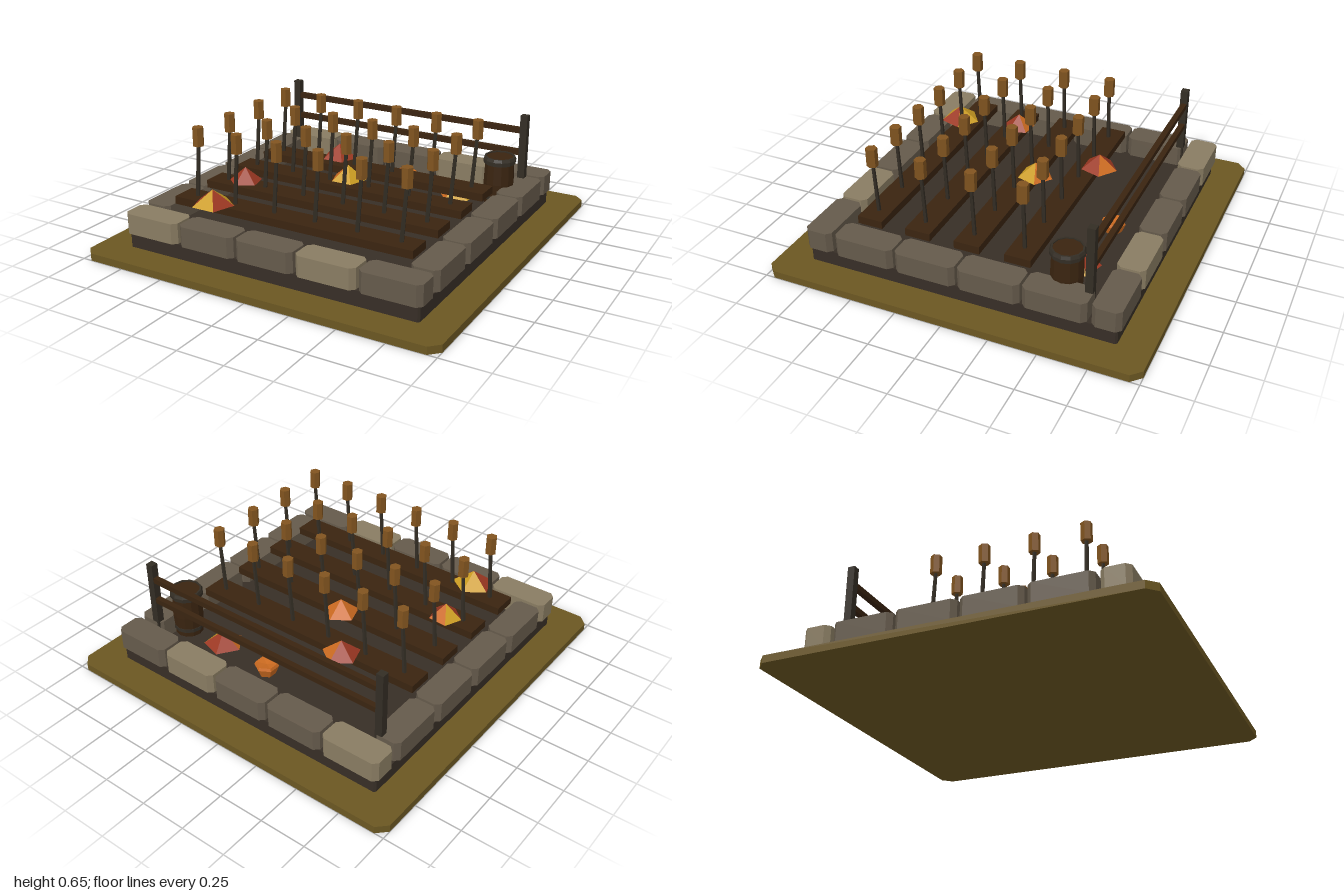
import * as THREE from 'three';

const mat = (name, color) => {
  const m = new THREE.MeshStandardMaterial({ color });
  m.name = name;
  return m;
};

// Faceted normals for low-poly parts
const flat = (geo) => {
  const g = geo.index ? geo.toNonIndexed() : geo;
  g.computeVertexNormals();
  return g;
};

// Block with corners cut in plan, standing on its origin
function chamferBlock(w, h, d, c) {
  const x = w / 2, z = d / 2;
  const shape = new THREE.Shape([
    [-x + c, -z], [x - c, -z], [x, -z + c], [x, z - c],
    [x - c, z], [-x + c, z], [-x, z - c], [-x, -z + c],
  ].map(([a, b]) => new THREE.Vector2(a, b)));
  return new THREE.ExtrudeGeometry(shape, { depth: h, bevelEnabled: false }).rotateX(-Math.PI / 2);
}

export function createModel() {
  const root = new THREE.Group();
  root.name = 'gardenBed';
  const M = {
    grass: mat('dryGrass', 0x6b5722),
    soil: mat('darkSoil', 0x372e26),
    stone: mat('stone', 0x655a4b),
    pale: mat('paleStone', 0x897c62),
    wood: mat('brownWood', 0x3a2410),
    dark: mat('darkWood', 0x332d24),
    seed: mat('seedHead', 0x81541f),
    red: mat('redLeaf', 0x9c3822),
    orange: mat('orangeLeaf', 0xcb6a20),
    yellow: mat('yellowLeaf', 0xcb9c22),
  };

  const add = (name, geo, material, x = 0, y = 0, z = 0, parent = root) => {
    const mesh = new THREE.Mesh(geo, material);
    mesh.name = name;
    mesh.position.set(x, y, z);
    parent.add(mesh);
    return mesh;
  };
  const group = (name) => {
    const g = new THREE.Group();
    g.name = name;
    root.add(g);
    return g;
  };

  // Ground slab and soil
  add('ground', chamferBlock(2, 0.04, 2, 0.05), M.grass);
  add('soil', chamferBlock(1.66, 0.08, 1.66, 0.01), M.soil, 0, 0.04, 0);

  // Stone border: rows of five at front and back, four along each side
  const border = group('stoneBorder');
  const rowStone = chamferBlock(0.325, 0.11, 0.148, 0.025);
  const sideStone = chamferBlock(0.148, 0.11, 0.328, 0.025);
  for (const s of [-1, 1]) {
    for (let i = 0; i < 5; i++) {
      add('rowStone', rowStone, i % 3 === 0 ? M.pale : M.stone, (i - 2) * 0.341, 0.12, s * 0.773, border);
    }
    for (let i = 0; i < 4; i++) {
      add('sideStone', sideStone, M.stone, s * 0.773, 0.12, (i - 1.5) * 0.342, border);
    }
  }

  // Planks with leaning stalks, each topped by a seed head
  const beds = group('plantRows');
  const plank = new THREE.BoxGeometry(1.38, 0.042, 0.138);
  const stalk = flat(new THREE.CylinderGeometry(0.01, 0.012, 0.32, 5));
  const head = flat(new THREE.CylinderGeometry(0.03, 0.03, 0.1, 6).rotateY(Math.PI / 6));
  for (let r = 0; r < 4; r++) {
    const z = -0.265 + r * 0.2725;
    add('plank', plank, M.wood, 0, 0.254, z, beds);
    for (let i = 0; i < 6; i++) {
      const x = -0.573 + i * 0.2385;
      add('stalk', stalk, M.dark, x - 0.012, 0.405, z, beds).rotation.z = -0.075;
      add('seedHead', head, M.seed, x, 0.603, z, beds);
    }
  }

  // Back fence
  const fence = group('fence');
  for (const s of [-1, 1]) {
    add('fencePost', new THREE.BoxGeometry(0.04, 0.47, 0.04), M.dark, s * 0.733, 0.355, -0.657, fence);
  }
  for (const y of [0.373, 0.5]) {
    add('fenceRail', new THREE.BoxGeometry(1.44, 0.03, 0.03), M.wood, 0, y, -0.66, fence);
  }

  // Barrel with a rim hoop and recessed lid
  const barrel = group('barrel');
  barrel.position.set(0.655, 0.12, -0.51);
  const lathe = (pts, n) => flat(new THREE.LatheGeometry(pts.map(([a, b]) => new THREE.Vector2(a, b)), n));
  add('barrelBody', lathe([[0, 0], [0.075, 0], [0.083, 0.12], [0.078, 0.262], [0, 0.262]], 12), M.wood, 0, 0, 0, barrel);
  for (const [y, r] of [[0.03, 0.082], [0.228, 0.085]]) {
    add('barrelHoop', lathe([[r - 0.008, y], [r, y], [r, y + 0.02], [r - 0.008, y + 0.02]], 12), M.dark, 0, 0, 0, barrel);
  }
  add('barrelRim', lathe([[0.074, 0.236], [0.09, 0.236], [0.09, 0.252], [0.083, 0.268], [0.074, 0.268], [0.074, 0.258]], 12),
    M.dark, 0, 0, 0, barrel);

  // Leaf piles: five-sided cones, one colour per face
  const leaves = group('leafPiles');
  const { red: R, orange: O, yellow: Y } = M;
  const piles = [
    [-0.452, 0.315, 0.612, 0.113, Math.PI, [Y, R, Y, R, Y]],
    [-0.5, 0.315, 0.255, 0.09, 2.43, [O, Y, R, R, R]],
    [-0.035, 0.315, -0.05, 0.098, Math.PI, [O, O, Y, Y, O]],
    [-0.255, 0.315, -0.335, 0.102, Math.PI, [R, R, R, R, O]],
    [0.42, 0.16, -0.49, 0.108, 2.22, [R, R, O, Y, Y]],
  ];
  for (const [x, y, z, r, start, colors] of piles) {
    const geo = flat(new THREE.ConeGeometry(r, 0.08, 5, 1, false, start));
    geo.clearGroups();
    for (let i = 0; i < 5; i++) geo.addGroup(i * 3, 3, i);
    geo.addGroup(15, 15, 0);
    add('leafPile', geo, colors, x, y, z, leaves);
  }

  // Small gourd with a dimpled top
  add('gourd', lathe([[0, 0], [0.045, 0], [0.065, 0.05], [0.058, 0.065], [0, 0.055]], 6), M.orange, 0.072, 0.12, -0.54);

  return root;
}
